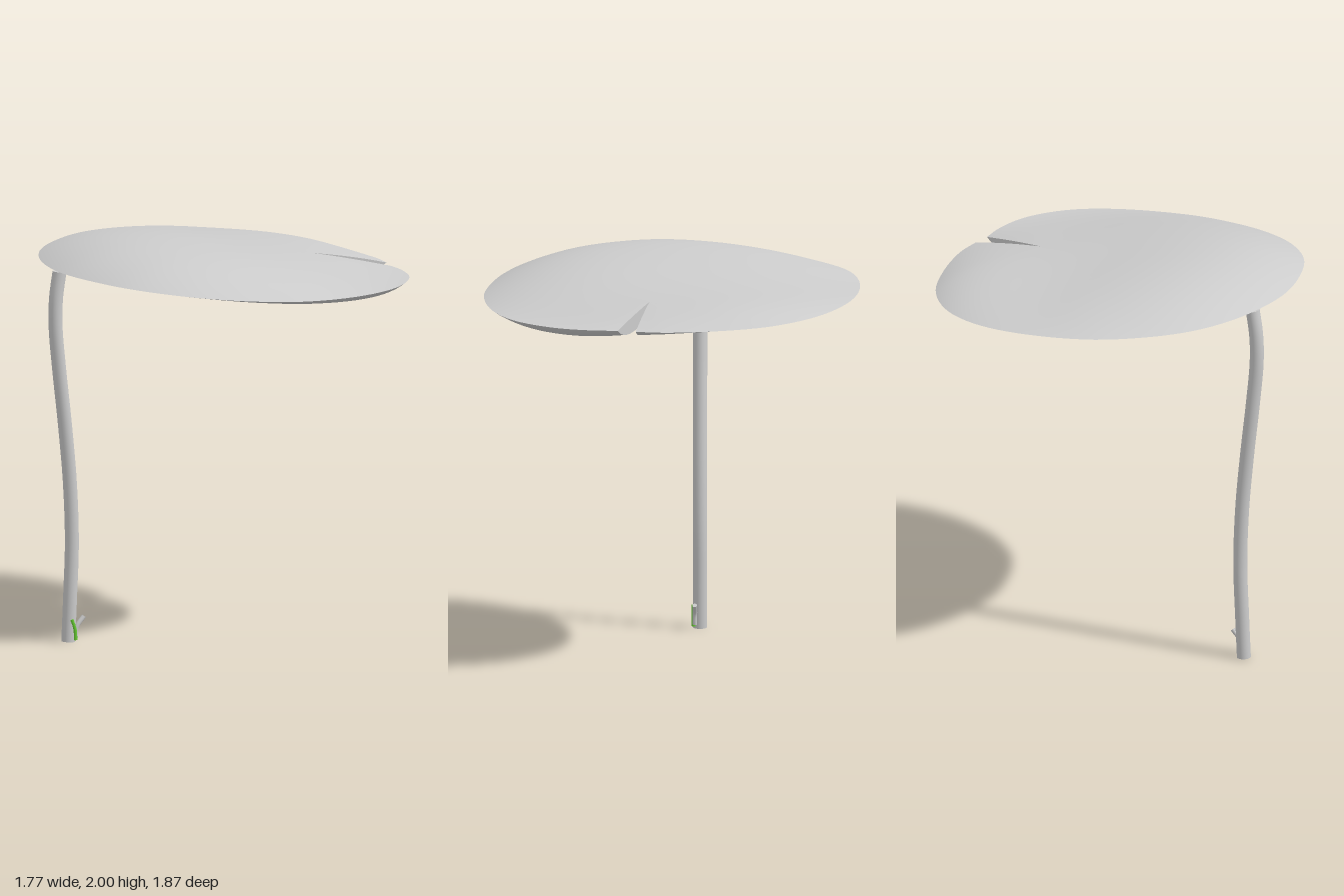
import * as THREE from 'three';

const grey = new THREE.MeshStandardMaterial({ color: 0xcccccc });
const green = new THREE.MeshStandardMaterial({ color: 0x66cc33 });

// Leaf outline (x, z), running from the front lip of the notch round to its back lip
const OUTLINE = [
  [0.85, 0.25], [0.845, 0.38], [0.79, 0.56], [0.63, 0.75], [0.38, 0.875], [0.04, 0.93], [-0.2, 0.9],
  [-0.4, 0.835], [-0.6, 0.715], [-0.765, 0.53], [-0.855, 0.3], [-0.89, 0.07], [-0.865, -0.15],
  [-0.795, -0.37], [-0.68, -0.57], [-0.51, -0.74], [-0.28, -0.88], [0.03, -0.935], [0.31, -0.895],
  [0.56, -0.755], [0.75, -0.52], [0.845, -0.25], [0.884, 0.02], [0.87, 0.16],
];
const rim = new THREE.CatmullRomCurve3(OUTLINE.map(([x, z]) => new THREE.Vector3(x, 0, z)));
const notchTip = new THREE.Vector3(0.48, 0, 0.1);

// Point on the leaf: a goes round the rim, u from notch tip to rim, side 1 = top, 0 = underside
function leafPoint(a, u, side) {
  const edge = rim.getPoint(a * (OUTLINE.length - 1) / (OUTLINE.length - 1));
  const ellipse = (v) => Math.hypot(v.x / 0.885, v.z / 0.935);
  const p = notchTip.clone().lerp(edge, u);
  const { x, z } = p;
  const s = Math.min(1, ellipse(p) / (1 + (ellipse(edge) - 1) * u));
  const rimHeight = 1.857 - 0.05 * x - 0.03 * z + 0.045 * x * x * z;
  const rightBackSwell = 0.3 * Math.max(0, x) ** 2 * (0.5 - z);
  const dome = (1 - s ** 2.4) * (0.1 - 0.115 * x + 0.035 * z + rightBackSwell);
  const thickness = (1 - s ** 8) * Math.max(0.02, 0.06 + 0.035 * x + 0.05 * z);
  return p.setY(rimHeight + dome - thickness * (1 - side));
}

// Smooth grid surface from a function of two parameters in 0..1
function surface(name, na, nb, fn, flip = false) {
  const pos = [], index = [];
  for (let i = 0; i <= na; i++)
    for (let j = 0; j <= nb; j++) pos.push(...fn(i / na, j / nb).toArray());
  for (let i = 0; i < na; i++)
    for (let j = 0; j < nb; j++) {
      const a = i * (nb + 1) + j, b = a + nb + 1;
      if (flip) index.push(a, a + 1, b, b, a + 1, b + 1);
      else index.push(a, b, a + 1, b, b + 1, a + 1);
    }
  const geo = new THREE.BufferGeometry();
  geo.setAttribute('position', new THREE.Float32BufferAttribute(pos, 3));
  geo.setIndex(index);
  geo.computeVertexNormals();
  const mesh = new THREE.Mesh(geo, grey);
  mesh.name = name;
  return mesh;
}

// Round rod along a path, with closed ends
function rod(name, points, radius, segments, sides, material) {
  const group = new THREE.Group();
  group.name = name;
  const curve = new THREE.CatmullRomCurve3(points.map((p) => new THREE.Vector3(...p)));
  group.add(new THREE.Mesh(new THREE.TubeGeometry(curve, segments, radius, sides), material));
  for (const t of [0, 1]) {
    const cap = new THREE.Mesh(new THREE.CircleGeometry(radius, sides), material);
    const out = curve.getTangent(t).multiplyScalar(t ? 1 : -1);
    cap.position.copy(curve.getPoint(t));
    cap.quaternion.setFromUnitVectors(new THREE.Vector3(0, 0, 1), out);
    group.add(cap);
  }
  group.children.forEach((m, i) => { m.name = name + ['Body', 'LowerEnd', 'UpperEnd'][i]; });
  return group;
}

export function createModel() {
  const model = new THREE.Group();
  model.name = 'leafOnStem';

  // Leaf: domed top, underside and the two walls of the notch
  const leaf = new THREE.Group();
  leaf.name = 'leaf';
  const spread = (u) => 1 - (1 - u) ** 1.7;
  leaf.add(
    surface('leafTop', 120, 28, (a, u) => leafPoint(a, spread(u), 1)),
    surface('leafUnderside', 120, 28, (a, u) => leafPoint(a, spread(u), 0), true),
    surface('notchFrontWall', 28, 1, (u, v) => leafPoint(0, spread(u), 1 - v)),
    surface('notchBackWall', 28, 1, (u, v) => leafPoint(1, spread(u), v)),
  );
  model.add(leaf);

  // Gently bent stem under the right rim
  const stemPath = [
    [-0.759, 0], [-0.749, 0.22], [-0.739, 0.5], [-0.75, 0.8], [-0.778, 1.1],
    [-0.81, 1.38], [-0.83, 1.6], [-0.827, 1.74], [-0.808, 1.87],
  ].map(([x, y]) => [x, y, -0.125]);
  model.add(rod('stem', stemPath, 0.035, 60, 20, grey));

  // Side twig and green shoot at the foot
  model.add(rod('twig', [[-0.732, 0.02, -0.1], [-0.725, 0.075, -0.1], [-0.685, 0.125, -0.1]], 0.012, 12, 10, grey));
  model.add(rod('shoot', [[-0.735, 0.01, -0.094], [-0.738, 0.06, -0.094], [-0.756, 0.115, -0.094]], 0.01, 12, 8, green));
  return model;
}
